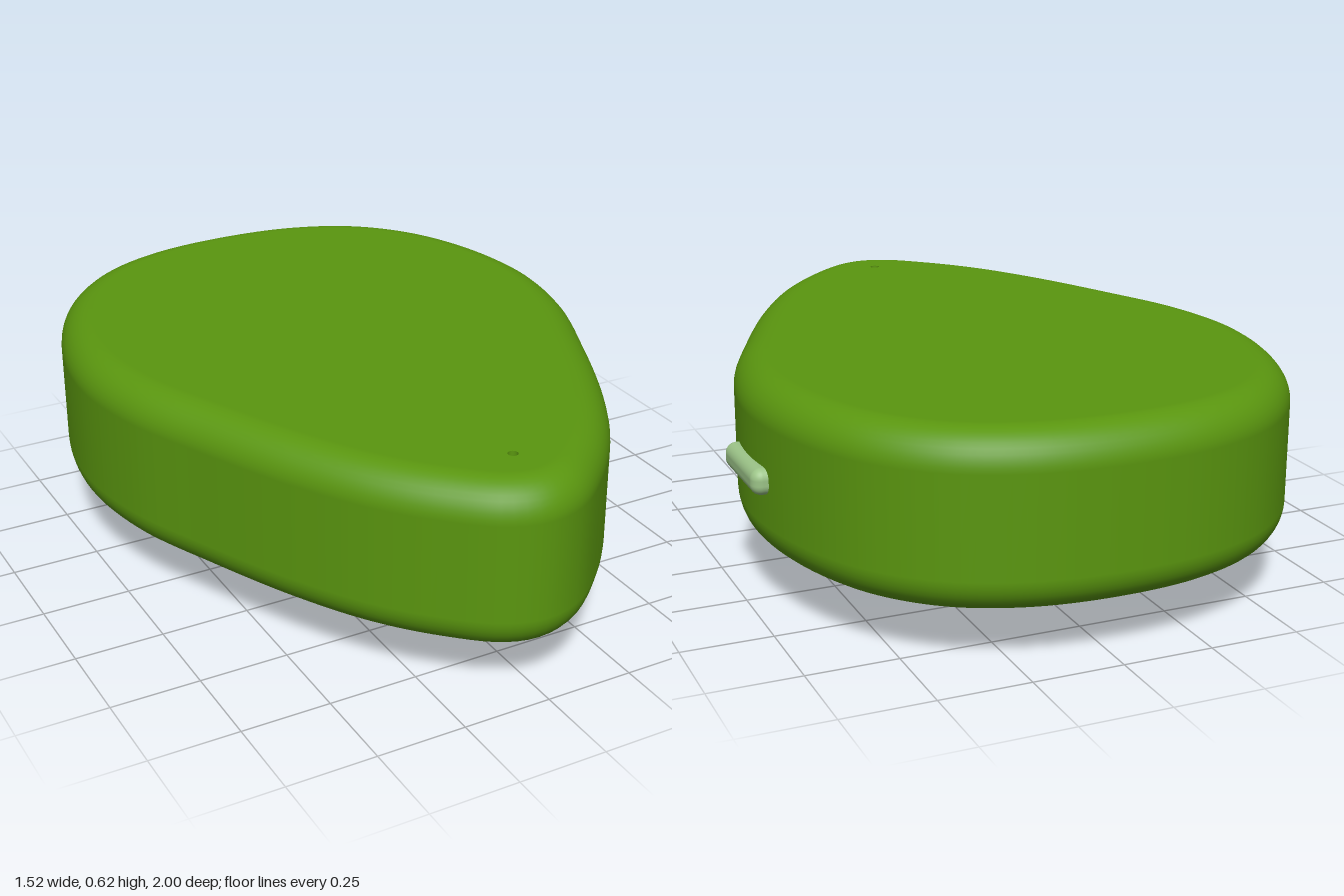
import * as THREE from 'three';
import { RoundedBoxGeometry } from 'three/addons/geometries/RoundedBoxGeometry.js';

const CX = -0.015, BOTTOM = 0.15, TOP = 0.625, FILLET = 0.1;
const HOLE = { x: CX, z: 0.81, r: 0.014 };
const SEG = 160;

function part(name, geometry, color, side = THREE.FrontSide) {
  const mesh = new THREE.Mesh(geometry, new THREE.MeshStandardMaterial({ color, side }));
  mesh.name = name;
  return mesh;
}

// Teardrop outline: half widths mirrored about the centre line
function outline() {
  const half = [[0.25, -0.972], [0.45, -0.885], [0.605, -0.73], [0.705, -0.51], [0.745, -0.25],
    [0.708, 0], [0.61, 0.25], [0.485, 0.52], [0.365, 0.72], [0.24, 0.865], [0.11, 0.971]];
  const right = half.map(([x, z]) => new THREE.Vector3(CX + x, 0, z));
  const left = half.map(([x, z]) => new THREE.Vector3(CX - x, 0, z)).reverse();
  const curve = new THREE.CatmullRomCurve3(
    [new THREE.Vector3(CX, 0, -1), ...right, new THREE.Vector3(CX, 0, 1), ...left], true, 'centripetal');
  const ring = [];
  for (let i = 0; i < SEG; i++) {
    const p = curve.getPointAt(i / SEG), t = curve.getTangentAt(i / SEG);
    ring.push({ x: p.x, z: p.z, nx: t.z * -1, nz: t.x });
  }
  // make the normals point away from the middle
  const s = Math.sign(ring[SEG / 4].nx);
  ring.forEach(p => { p.nx *= s; p.nz *= s; });
  return ring;
}

// Side wall with quarter-round edges at the bottom and the top
function wallGeometry(ring) {
  const rows = [], n = 10, pos = [], nor = [], idx = [];
  for (let i = 0; i <= n; i++) rows.push({ a: (i / n - 1) * Math.PI / 2, y: BOTTOM + FILLET });
  for (let i = 0; i <= n; i++) rows.push({ a: (i / n) * Math.PI / 2, y: TOP - FILLET });
  rows.forEach(({ a, y }, r) => ring.forEach((p, i) => {
    const inset = FILLET * (1 - Math.cos(a));
    pos.push(p.x - p.nx * inset, y + FILLET * Math.sin(a), p.z - p.nz * inset);
    nor.push(p.nx * Math.cos(a), Math.sin(a), p.nz * Math.cos(a));
    if (r === rows.length - 1) return;
    const j = (i + 1) % SEG, b = r * SEG, c = b + SEG;
    idx.push(b + i, c + i, b + j, b + j, c + i, c + j);
  }));
  const g = new THREE.BufferGeometry();
  g.setAttribute('position', new THREE.Float32BufferAttribute(pos, 3));
  g.setAttribute('normal', new THREE.Float32BufferAttribute(nor, 3));
  g.setIndex(idx);
  return g;
}

// Flat face inside the rounded edge, pierced by the cord hole; dir is 1 for up, -1 for down
function faceGeometry(ring, dir, y) {
  const shape = new THREE.Shape(ring.map(p =>
    new THREE.Vector2(p.x - p.nx * FILLET, -dir * (p.z - p.nz * FILLET))));
  shape.holes.push(new THREE.Path().absarc(HOLE.x, -dir * HOLE.z, HOLE.r, 0, Math.PI * 2, true));
  return new THREE.ShapeGeometry(shape, 12).rotateX(-dir * Math.PI / 2).translate(0, y, 0);
}

export function createModel() {
  const model = new THREE.Group();
  model.name = 'pendantAlarm';
  const green = 0x5a960f;
  const ring = outline();

  // Case
  model.add(part('caseWall', wallGeometry(ring), green, THREE.DoubleSide));
  model.add(part('caseTop', faceGeometry(ring, 1, TOP), green));
  model.add(part('basePlate', faceGeometry(ring, -1, BOTTOM), 0xb4c48a));
  const bore = new THREE.CylinderGeometry(HOLE.r, HOLE.r, TOP - BOTTOM, 24, 1, true);
  bore.translate(HOLE.x, (TOP + BOTTOM) / 2, HOLE.z);
  model.add(part('cordHole', bore, green, THREE.BackSide));

  // Round push button under the case, with a rounded lower rim
  const R = 0.38, low = 0.022, r = 0.1;
  const profile = [new THREE.Vector2(0, low)];
  for (let i = 0; i <= 12; i++) {
    const a = (i / 12) * Math.PI / 2;
    profile.push(new THREE.Vector2(R - r + r * Math.sin(a), low + r - r * Math.cos(a)));
  }
  profile.push(new THREE.Vector2(R, BOTTOM + 0.01));
  const button = part('pushButton', new THREE.LatheGeometry(profile, 72), 0xa08c78);
  button.position.set(CX - 0.002, 0, -0.26);
  model.add(button);

  // Plain raised grip pads on the push button
  const pads = new THREE.Group();
  pads.name = 'gripPads';
  for (const [x, w] of [[-0.172, 0.105], [-0.02, 0.15], [0.132, 0.105]]) {
    const pad = part('gripPad', new RoundedBoxGeometry(w, 0.034, 0.16, 4, 0.015), 0xcccccc);
    pad.position.set(x, 0.017, -0.268);
    pads.add(pad);
  }
  model.add(pads);

  // Slim key on the left side wall
  const key = part('sideKey', new RoundedBoxGeometry(0.07, 0.074, 0.28, 5, 0.03), 0x9cc488);
  key.position.set(0.725, 0.375, -0.25);
  model.add(key);

  return model;
}
